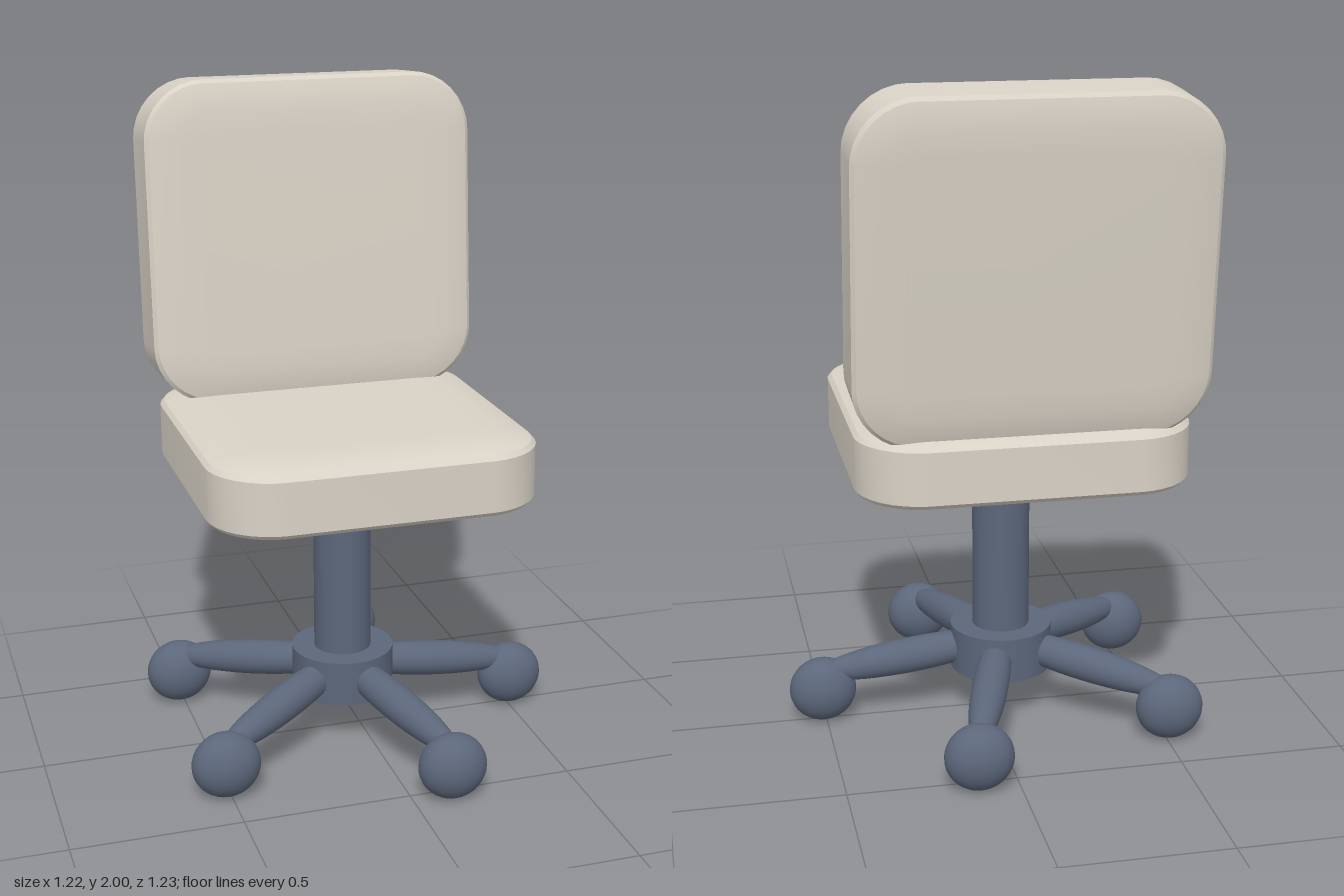
import * as THREE from 'three';
import { toCreasedNormals } from 'three/addons/utils/BufferGeometryUtils.js';

const fabric = new THREE.MeshStandardMaterial({ color: 0xd9d2c6 });
const metal = new THREE.MeshStandardMaterial({ color: 0x5c677b });

// Padded slab with rounded corners and softly domed faces, thickness along z
function cushionGeometry(halfW, halfH, wall, bevel, dome) {
  const w = halfW - bevel, h = halfH - bevel, r = 0.035;
  const s = new THREE.Shape();
  s.moveTo(w, -h + r);
  s.absarc(w - r, h - r, r, 0, Math.PI / 2);
  s.absarc(-w + r, h - r, r, Math.PI / 2, Math.PI);
  s.absarc(-w + r, -h + r, r, Math.PI, Math.PI * 1.5);
  s.absarc(w - r, -h + r, r, Math.PI * 1.5, Math.PI * 2);
  const g = new THREE.ExtrudeGeometry(s, {
    depth: wall, bevelSize: bevel, bevelThickness: dome, bevelSegments: 4, curveSegments: 4,
  });
  g.translate(0, 0, -wall / 2);
  return toCreasedNormals(g, 0.37);
}

function createModel() {
  const chair = new THREE.Group();
  chair.name = 'swivelChair';
  const add = (name, geometry, material, x, y, z) => {
    const mesh = new THREE.Mesh(geometry, material);
    mesh.name = name;
    mesh.position.set(x, y, z);
    chair.add(mesh);
    return mesh;
  };
  const cx = -0.055; // axis of the column

  // Upholstery
  const seat = add('seat', cushionGeometry(0.49, 0.49, 0.155, 0.16, 0.035), fabric, cx, 0.933, 0);
  seat.rotation.x = -Math.PI / 2;
  const back = add('backrest', cushionGeometry(0.51, 0.49, 0.175, 0.15, 0.028), fabric, cx, 1.503, -0.389);
  back.rotation.x = -0.08;

  // Column and hub
  add('column', new THREE.CylinderGeometry(0.088, 0.088, 0.66, 24), metal, cx, 0.53, 0);
  add('hub', new THREE.CylinderGeometry(0.157, 0.157, 0.14, 32), metal, cx, 0.21, 0);

  // Five tapered legs, each ending in an ellipsoid caster
  const legGeometry = new THREE.SphereGeometry(1, 20, 24);
  legGeometry.rotateZ(Math.PI / 2).scale(0.31, 0.055, 0.055).rotateZ(-0.123);
  const casterGeometry = new THREE.SphereGeometry(1, 32, 20).scale(0.103, 0.1, 0.078);
  for (let i = 0; i < 5; i++) {
    const a = (i * Math.PI * 2) / 5;
    const c = Math.cos(a), s = Math.sin(a);
    const leg = add('leg' + (i + 1), legGeometry, metal, cx + 0.28 * c, 0.19, 0.28 * s);
    leg.rotation.y = -a;
    add('caster' + (i + 1), casterGeometry, metal, cx + 0.563 * c, 0.1, 0.563 * s);
  }
  return chair;
}

export { createModel };
